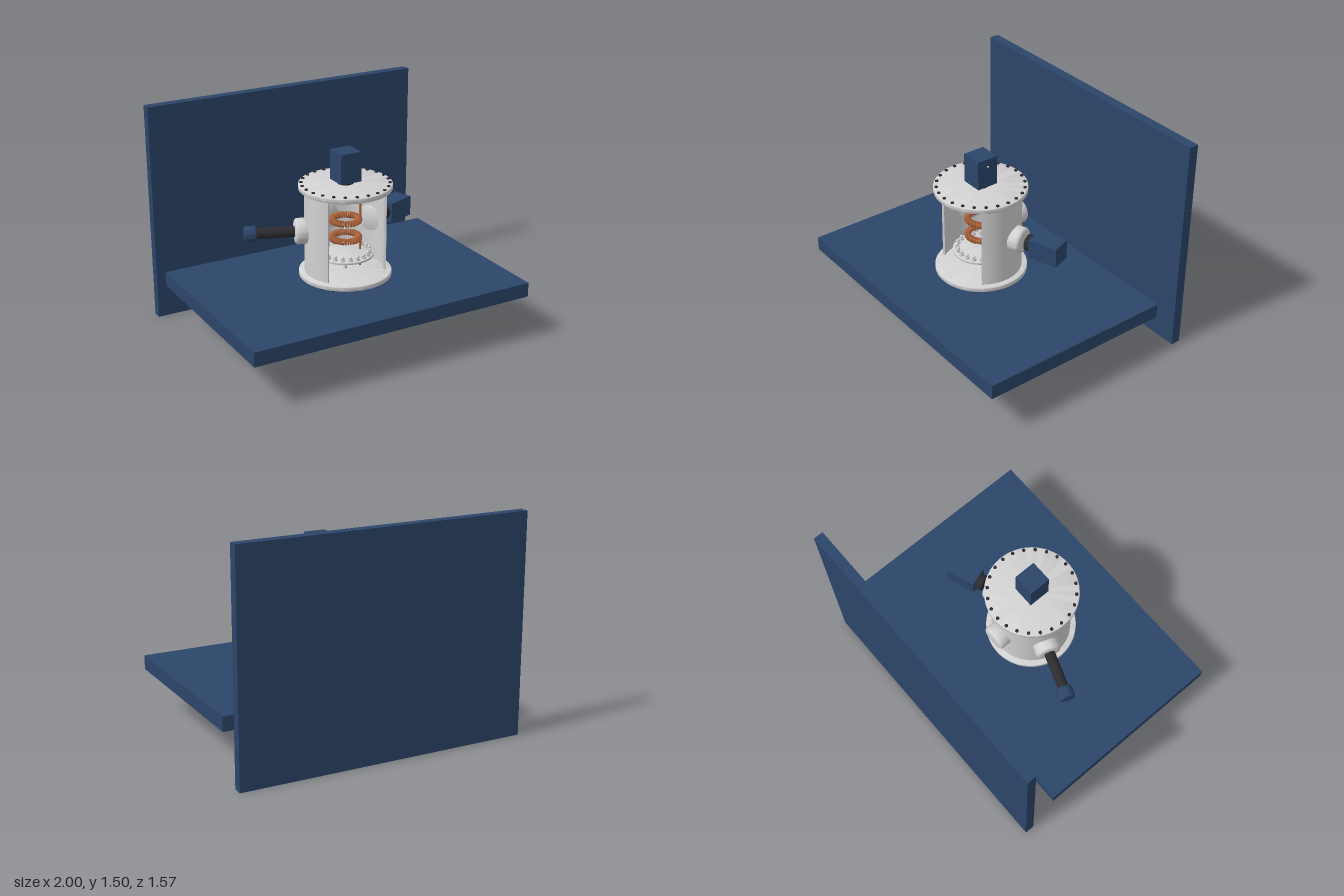
import * as THREE from 'three';
import { toCreasedNormals } from 'three/addons/utils/BufferGeometryUtils.js';

const material = (name, color) => new THREE.MeshStandardMaterial({ name, color });
const RAD = Math.PI / 180;

// Helical winding wrapped around a ring
class Winding extends THREE.Curve {
  constructor(ring, radius, turns) {
    super();
    Object.assign(this, { ring, radius, turns });
  }
  getPoint(t, target = new THREE.Vector3()) {
    const a = t * Math.PI * 2, b = a * this.turns;
    const r = this.ring + this.radius * Math.cos(b);
    return target.set(r * Math.cos(a), this.radius * Math.sin(b), r * Math.sin(a));
  }
}

export function createModel() {
  const model = new THREE.Group();
  model.name = 'vacuumChamberBench';
  const navy = material('navy', 0x2b4569);
  const steel = material('light steel', 0xd2d2d2);
  const black = material('dark metal', 0x2c2c30);
  const copper = material('copper', 0xb4683f);

  const add = (parent, name, geometry, mat, x = 0, y = 0, z = 0) => {
    const mesh = new THREE.Mesh(geometry, mat);
    mesh.name = name;
    mesh.position.set(x, y, z);
    parent.add(mesh);
    return mesh;
  };
  const box = (w, h, d) => new THREE.BoxGeometry(w, h, d);
  const cyl = (r, h, n = 32) => new THREE.CylinderGeometry(r, r, h, n);

  // Disc from y = 0 to h with rounded rims
  const disc = (r, h, bevel, bottomBevel = bevel, segments = 64) => {
    const pts = [new THREE.Vector2(0, 0)];
    for (let i = 0; i <= 4; i++) {
      const a = (i / 4) * Math.PI / 2;
      pts.push(new THREE.Vector2(r - bottomBevel * (1 - Math.sin(a)), bottomBevel * (1 - Math.cos(a))));
    }
    for (let i = 0; i <= 4; i++) {
      const a = (i / 4) * Math.PI / 2;
      pts.push(new THREE.Vector2(r - bevel * (1 - Math.cos(a)), h - bevel * (1 - Math.sin(a))));
    }
    pts.push(new THREE.Vector2(0, h));
    return toCreasedNormals(new THREE.LatheGeometry(pts, segments), 0.6);
  };

  // Bench and wall
  add(model, 'benchTop', box(2, 0.098, 1.335), navy, 0, 0.353, 0.117);
  add(model, 'backWall', box(2, 1.5, 0.066), navy, 0, 0.75, -0.752);

  // Chamber, centred on its own vertical axis
  const chamber = new THREE.Group();
  chamber.name = 'chamber';
  chamber.position.z = 0.115;
  model.add(chamber);

  // Cutaway shell, open at the front
  const arc = new THREE.Shape();
  arc.absarc(0, 0, 0.268, -36 * RAD, 216 * RAD, false);
  arc.absarc(0, 0, 0.253, 216 * RAD, -36 * RAD, true);
  const shell = new THREE.ExtrudeGeometry(arc, { depth: 0.58, bevelEnabled: false, curveSegments: 56 });
  shell.rotateX(-Math.PI / 2);
  add(chamber, 'shell', toCreasedNormals(shell, 0.5), steel, 0, 0.463, 0);

  // Flanges with bolt circles
  add(chamber, 'bottomFlange', disc(0.306, 0.035, 0.007), steel, 0, 0.435, 0);
  add(chamber, 'topFlange', disc(0.306, 0.035, 0.007), steel, 0, 1.033, 0);
  for (let i = 0; i < 24; i++) {
    const a = i * 15 * RAD;
    for (const [name, y] of [['topBolt', 1.068], ['bottomBolt', 0.435]]) {
      add(chamber, name, cyl(0.011, 0.014, 12), black, 0.286 * Math.sin(a), y, 0.286 * Math.cos(a));
    }
  }

  // Radial arms: local +x points outward from the chamber
  const arm = (name, degrees) => {
    const g = new THREE.Group();
    g.name = name;
    g.position.y = 0.753;
    g.rotation.y = degrees * RAD;
    chamber.add(g);
    const port = add(g, 'port', disc(0.086, 0.095, 0.022, 0.001), steel, 0.24);
    port.rotation.z = -Math.PI / 2;
    return g;
  };
  arm('backPort', 90);

  const cameraArm = arm('sideCamera', 20);
  add(cameraArm, 'lens', cyl(0.054, 0.06), black, 0.388).rotation.z = -Math.PI / 2;
  add(cameraArm, 'cameraBody', box(0.205, 0.135, 0.135), navy, 0.505);

  const probeArm = arm('probe', 160);
  add(probeArm, 'probeTube', cyl(0.036, 0.27), black, 0.46).rotation.z = -Math.PI / 2;
  add(probeArm, 'probeKnob', disc(0.053, 0.082, 0.012, 0.012, 40), navy, 0.582).rotation.z = -Math.PI / 2;

  // Top camera
  add(chamber, 'topLens', cyl(0.054, 0.03), black, 0, 1.076, 0);
  add(chamber, 'topCamera', box(0.148, 0.2, 0.148), navy, 0, 1.186, 0);
  add(chamber, 'cameraButton', cyl(0.005, 0.012, 10), steel, 0.078, 1.235, 0).rotation.z = Math.PI / 2;

  // Copper coils with their feed rods, and the sample between them
  for (const [name, y] of [['upperCoil', 0.815], ['lowerCoil', 0.692]]) {
    add(chamber, name, new THREE.TubeGeometry(new Winding(0.088, 0.018, 36), 432, 0.0055, 6, true), copper, 0, y, 0);
  }
  add(chamber, 'upperFeedRod', cyl(0.008, 0.23, 12), copper, 0.112, 0.925, 0);
  add(chamber, 'lowerFeedRod', cyl(0.008, 0.22, 12), copper, 0.112, 0.575, 0);
  add(chamber, 'sample', new THREE.SphereGeometry(0.011, 16, 12), steel, 0, 0.752, 0);

  // Rotating stage on a shaft, ringed by domed pins
  const stage = new THREE.Group();
  stage.name = 'stage';
  chamber.add(stage);
  add(stage, 'stagePlate', disc(0.187, 0.016, 0.003), steel, 0, 0.57, 0);
  add(stage, 'stageHub', cyl(0.04, 0.026), steel, 0, 0.558, 0);
  add(stage, 'stageShaft', cyl(0.012, 0.16, 20), steel, 0, 0.48, 0);
  for (let i = 0; i < 20; i++) {
    const a = i * 18 * RAD, x = 0.16 * Math.sin(a), z = 0.16 * Math.cos(a);
    add(stage, 'pinBase', cyl(0.016, 0.014, 16), steel, x, 0.592, z);
    add(stage, 'pinDome', new THREE.SphereGeometry(0.012, 14, 10), steel, x, 0.607, z);
  }
  return model;
}
